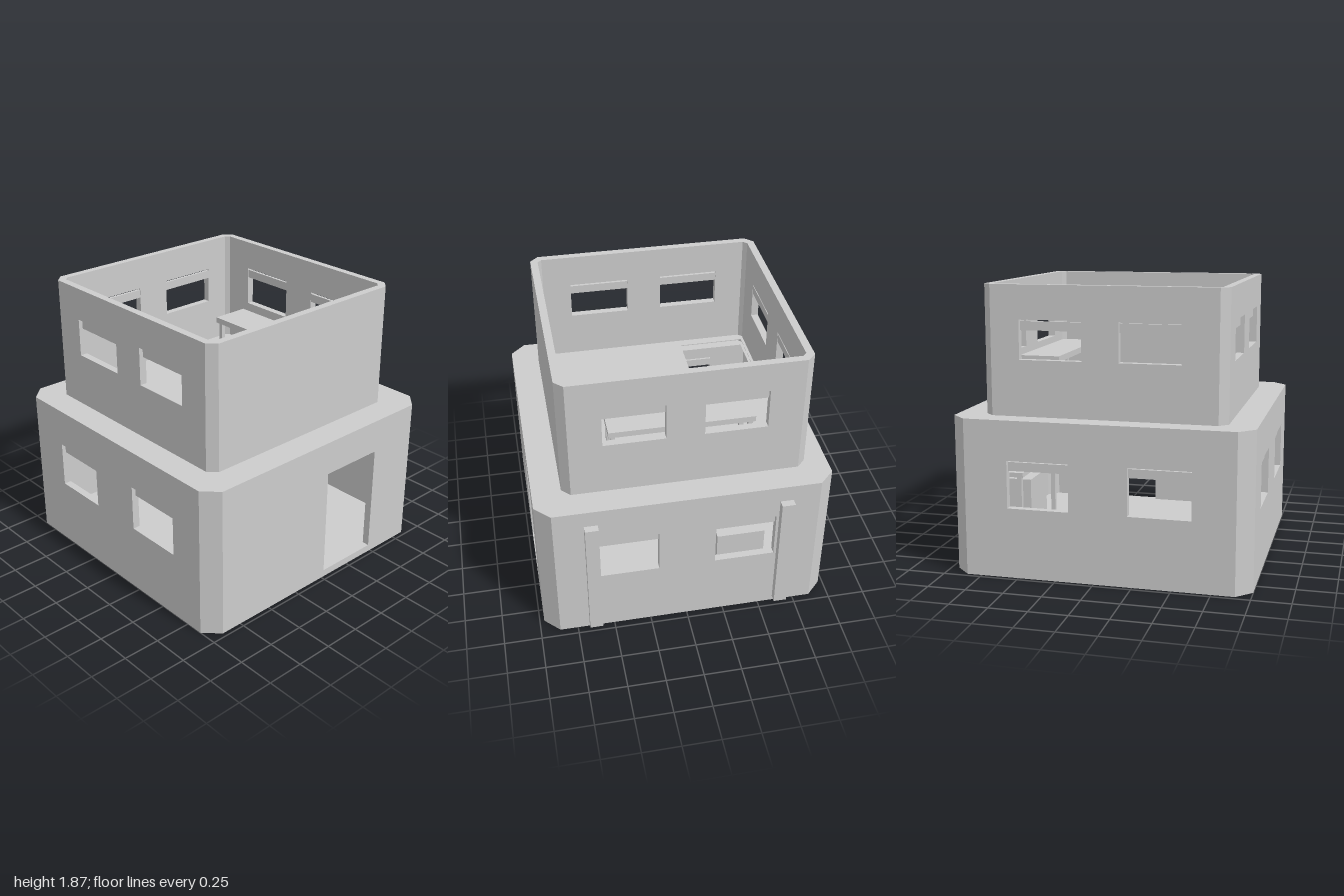
import * as THREE from 'three';

const T = 0.05; // wall thickness

export function createModel() {
  const plaster = new THREE.MeshStandardMaterial({ color: 0xcccccc });
  plaster.name = 'light grey plaster';
  const model = new THREE.Group();
  model.name = 'house';

  const add = (parent, name, geometry) => {
    const mesh = new THREE.Mesh(geometry, plaster);
    mesh.name = name;
    parent.add(mesh);
    return mesh;
  };

  // Box given by its limits on each axis
  const box = (parent, name, x0, x1, y0, y1, z0, z1) => {
    const mesh = add(parent, name, new THREE.BoxGeometry(x1 - x0, y1 - y0, z1 - z0));
    mesh.position.set((x0 + x1) / 2, (y0 + y1) / 2, (z0 + z1) / 2);
    return mesh;
  };

  const rectPath = (a0, a1, b0, b1) => new THREE.Path([
    [a0, b0], [a0, b1], [a1, b1], [a1, b0],
  ].map(p => new THREE.Vector2(...p)));

  // Horizontal outline in x and z, raised from y0 to y1
  const prism = (parent, name, points, y0, y1, hole) => {
    const shape = new THREE.Shape(points.map(([x, z]) => new THREE.Vector2(x, -z)));
    if (hole) shape.holes.push(rectPath(hole[0], hole[1], -hole[3], -hole[2]));
    const geometry = new THREE.ExtrudeGeometry(shape, { depth: y1 - y0, bevelEnabled: false });
    geometry.rotateX(-Math.PI / 2);
    add(parent, name, geometry).position.y = y0;
  };

  const octagon = (x0, x1, z0, z1, c) => [
    [x0 + c, z0], [x1 - c, z0], [x1, z0 + c], [x1, z1 - c],
    [x1 - c, z1], [x0 + c, z1], [x0, z1 - c], [x0, z0 + c],
  ];

  // Straight wall with openings [u0, u1, y0, y1] and a blind box in each window
  const wall = (parent, name, u0, u1, y0, y1, openings, innerAtZero, blinds = true) => {
    const group = new THREE.Group();
    group.name = name;
    const shape = new THREE.Shape([
      [u0, y0], [u1, y0], [u1, y1], [u0, y1],
    ].map(p => new THREE.Vector2(...p)));
    for (const o of openings) {
      shape.holes.push(rectPath(...o));
      if (blinds) {
        const z = innerAtZero ? 0.002 : T - 0.022;
        box(group, 'blindBox', o[0], o[1], o[3] - 0.07, o[3] - 0.012, z, z + 0.02);
      }
    }
    add(group, name + 'Panel', new THREE.ExtrudeGeometry(shape, { depth: T, bevelEnabled: false }));
    parent.add(group);
    return group;
  };

  // Four walls and four chamfered corners
  const storey = (name, x0, x1, z0, z1, c, y0, y1, holes) => {
    const group = new THREE.Group();
    group.name = name;
    model.add(group);
    wall(group, 'frontWall', x0 + c, x1 - c, y0, y1, holes.front, true, false).position.z = z1 - T;
    wall(group, 'backWall', x0 + c, x1 - c, y0, y1, holes.back, false).position.z = z0;
    const right = wall(group, 'windowWallPlusX', z0 + c, z1 - c, y0, y1, holes.plusX, false);
    right.position.x = x1;
    const left = wall(group, 'windowWallMinusX', z0 + c, z1 - c, y0, y1, holes.minusX, true);
    left.position.x = x0 + T;
    right.rotation.y = left.rotation.y = -Math.PI / 2;

    const ci = c - T * (2 - Math.SQRT2); // inner chamfer
    const r = Math.max(c, T + ci);
    for (const sx of [1, -1]) for (const sz of [1, -1]) {
      const X = sx > 0 ? x1 : x0, Z = sz > 0 ? z1 : z0;
      const outline = [
        [c, 0], [0, c], [T, r], [T, T + ci], [T + ci, T], [r, T],
      ];
      outline[2] = [T, c];
      outline[5] = [c, T];
      prism(group, 'corner', outline.map(([a, b]) => [X - sx * a, Z - sz * b]), y0, y1);
    }
    return group;
  };

  const stairwell = [-0.7, -0.29, -0.75, -0.285];

  // Ground storey
  const ground = storey('groundStorey', -1, 0.95, -0.97, 0.97, 0.1, 0, 1.03, {
    front: [[0.02, 0.48, 0.05, 0.8]],
    back: [[0.16, 0.565, 0.46, 0.77], [-0.625, -0.22, 0.46, 0.77]],
    plusX: [[0.19, 0.585, 0.46, 0.77], [-0.585, -0.185, 0.46, 0.787]],
    minusX: [[0.21, 0.62, 0.46, 0.77], [-0.58, -0.18, 0.46, 0.77]],
  });
  const inner = octagon(-0.96, 0.91, -0.93, 0.93, 0.085);
  prism(ground, 'groundFloor', inner, 0, 0.05);
  prism(ground, 'ceiling', inner, 0.98, 1.03, stairwell);

  // Outside posts
  for (const z of [0.627, -0.647]) {
    box(ground, 'outsidePost', 0.95, 1, 0.035, 0.915, z - 0.044, z + 0.044);
  }

  // Upper storey, open at the top
  const upper = storey('upperStorey', -0.815, 0.765, -0.82, 0.78, 0.056, 1.03, 1.87, {
    front: [],
    back: [[0.11, 0.52, 1.395, 1.65], [-0.53, -0.13, 1.395, 1.65]],
    plusX: [[0.11, 0.51, 1.395, 1.65], [-0.54, -0.135, 1.395, 1.67]],
    minusX: [[0.1, 0.51, 1.395, 1.65], [-0.55, -0.14, 1.395, 1.65]],
  });
  prism(upper, 'upperFloor', octagon(-0.775, 0.725, -0.78, 0.74, 0.04), 1.03, 1.08, stairwell);

  // Tables: a slab on four thin legs
  const table = (parent, name, x0, x1, z0, z1, floor, top, thick) => {
    const group = new THREE.Group();
    group.name = name;
    parent.add(group);
    box(group, 'tableTop', x0, x1, top - thick, top, z0, z1);
    for (const x of [x0 + 0.03, x1 - 0.03]) for (const z of [z0 + 0.03, z1 - 0.03]) {
      box(group, 'tableLeg', x - 0.015, x + 0.015, floor, top - thick, z - 0.015, z + 0.015);
    }
  };
  table(upper, 'upperTable', 0.36, 0.63, -0.5, 0.455, 1.08, 1.38, 0.04);
  table(ground, 'groundTable', 0.5, 0.77, -0.85, -0.1, 0.05, 0.665, 0.03);
  box(ground, 'cabinet', 0.55, 0.82, 0.05, 0.545, -0.555, -0.23);

  return model;
}
